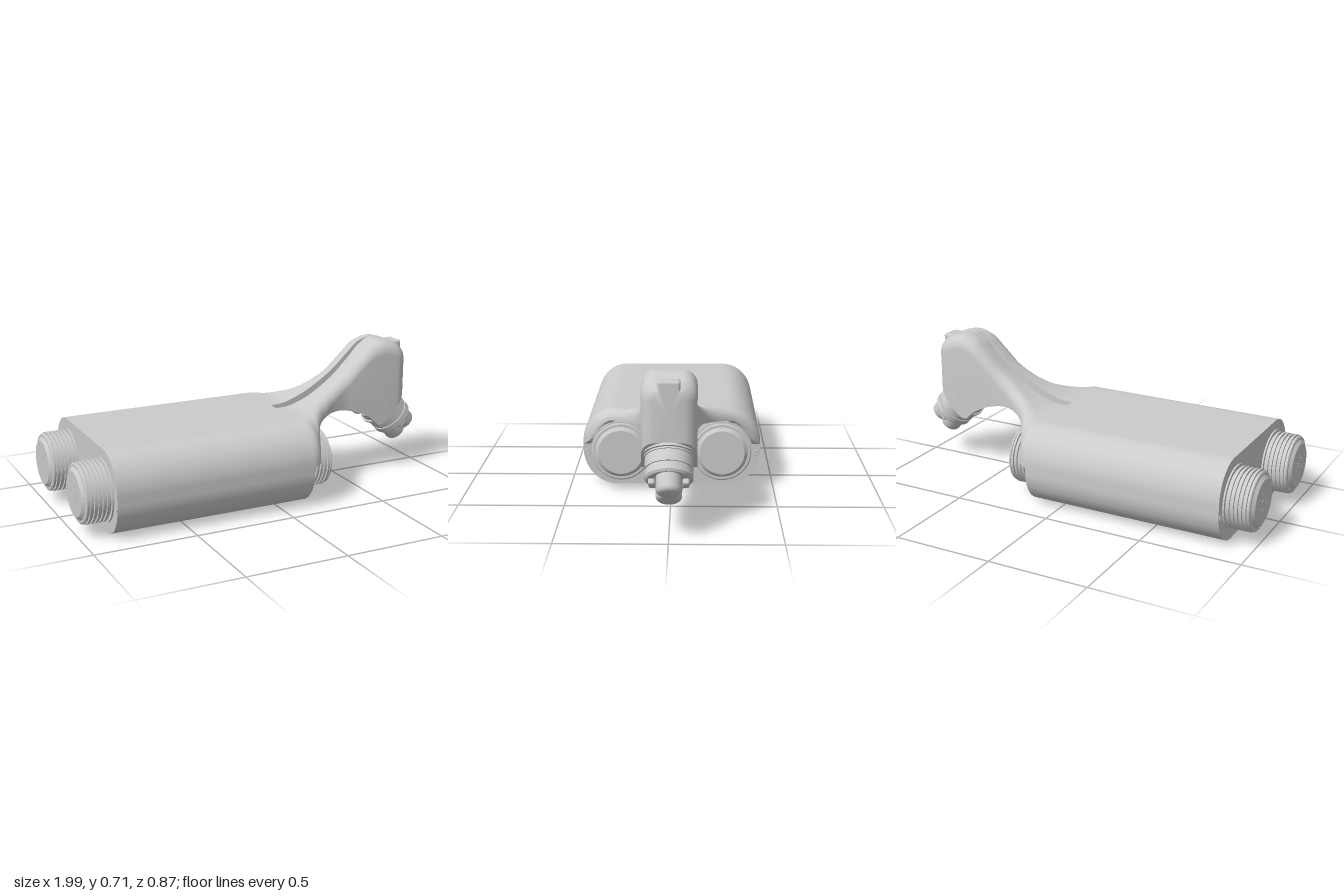
import * as THREE from 'three';
import { toCreasedNormals } from 'three/addons/utils/BufferGeometryUtils.js';
import { RoundedBoxGeometry } from 'three/addons/geometries/RoundedBoxGeometry.js';

const grey = new THREE.MeshStandardMaterial({ color: 0xcccccc });
const greyThin = new THREE.MeshStandardMaterial({ color: 0xcccccc, side: THREE.DoubleSide });

function add(parent, name, geometry, x = 0, y = 0, z = 0, material = grey) {
  const mesh = new THREE.Mesh(geometry, material);
  mesh.name = name;
  mesh.position.set(x, y, z);
  parent.add(mesh);
  return mesh;
}

// Smooth curve through [x, value] keys, without overshoot
function track(keys) {
  const slope = keys.slice(1).map((k, i) => (k[1] - keys[i][1]) / (k[0] - keys[i][0]));
  const tangent = keys.map((_, i) => {
    const a = slope[i - 1] ?? slope[i], b = slope[i] ?? a;
    return a * b > 0 ? (2 * a * b) / (a + b) : 0;
  });
  return (x) => {
    let i = 0;
    while (i < keys.length - 2 && x > keys[i + 1][0]) i++;
    const h = keys[i + 1][0] - keys[i][0];
    const t = THREE.MathUtils.clamp((x - keys[i][0]) / h, 0, 1);
    const s = t * t * (3 - 2 * t);
    return keys[i][1] * (1 - s) + keys[i + 1][1] * s
      + h * t * (1 - t) * ((1 - t) * tangent[i] - t * tangent[i + 1]);
  };
}

// Main housing: a rounded slab extruded along x
function bodyGeometry() {
  const w = 0.437, h = 0.4, rz = 0.165, ry = 0.18, s = new THREE.Shape();
  s.moveTo(-w + rz, 0);
  s.lineTo(w - rz, 0);
  s.absellipse(w - rz, ry, rz, ry, -Math.PI / 2, 0);
  s.absellipse(w - rz, h - ry, rz, ry, 0, Math.PI / 2);
  s.absellipse(-w + rz, h - ry, rz, ry, Math.PI / 2, Math.PI);
  s.absellipse(-w + rz, ry, rz, ry, Math.PI, Math.PI * 1.5);
  const g = new THREE.ExtrudeGeometry(s, { depth: 1.01, bevelEnabled: false, curveSegments: 16 });
  g.rotateY(Math.PI / 2).translate(-0.86, 0, 0);
  return toCreasedNormals(g, 0.6);
}

// Neck: hollow, grooved sections lofted along x
const top = track([[0.145, 0.4], [0.2, 0.402], [0.3, 0.43], [0.4, 0.48], [0.5, 0.545], [0.6, 0.635],
  [0.66, 0.685], [0.735, 0.706], [0.8, 0.692], [0.85, 0.665], [0.876, 0.64]]);
const bottom = track([[0.145, 0.21], [0.18, 0.214], [0.205, 0.245], [0.225, 0.31], [0.25, 0.35], [0.3, 0.36],
  [0.44, 0.375], [0.55, 0.355], [0.65, 0.31], [0.715, 0.26], [0.876, 0.412]]);
const halfWidth = track([[0.145, 0.437], [0.18, 0.43], [0.2, 0.405], [0.22, 0.362], [0.25, 0.3], [0.3, 0.232],
  [0.35, 0.185], [0.42, 0.145], [0.52, 0.125], [0.82, 0.123], [0.85, 0.112], [0.87, 0.088], [0.876, 0.07]]);
const corner = track([[0.145, 0.165], [0.2, 0.16], [0.3, 0.09], [0.45, 0.065], [0.85, 0.065], [0.876, 0.04]]);
const ceiling = track([[0.145, 0.35], [0.3, 0.388], [0.4, 0.425], [0.5, 0.45], [0.6, 0.42], [0.66, 0.3]]);
const groove = track([[0.22, 0.04], [0.6, 0.03], [0.72, 0]]);

function neckSection(x, hole) {
  const yT = top(x), yB = bottom(x), w = halfWidth(x), r = corner(x), g = 0.03;
  const yI = Math.max(yB, ceiling(x)), thick = Math.min(0.03, w * 0.3);
  const arc = (hw, yTop) => {
    const ry = Math.max(0, Math.min(r * 1.09, yTop - yB)), half = [[hw, yB]];
    const rz = Math.min(r, hw - g - 0.005);
    for (let k = 0; k <= 10; k++) {
      const a = (k / 10) * Math.PI / 2;
      half.push([hw - rz + rz * Math.cos(a), yTop - ry + ry * Math.sin(a)]);
    }
    return [...half, [g, yTop]];
  };
  const mirror = (half) => half.map(([z, y]) => [-z, y]).reverse();
  const floor = hole ? yI : Math.max(yT - groove(x), yI);
  const outer = arc(w, yT), inner = arc(w - thick, yI);
  return [...outer, [g, floor], [-g, floor], ...mirror(outer), ...mirror(inner).reverse(), ...inner.reverse()];
}

function neckGeometry() {
  const xs = Array.from({ length: 49 }, (_, i) => 0.145 + i * 0.015);
  xs.push(0.872, 0.876);
  const holeEnd = 5, sections = xs.map((x, i) => neckSection(x, i <= holeEnd));
  const n = sections[0].length, pos = [], idx = [];
  sections.forEach((s, i) => s.forEach(([z, y]) => pos.push(xs[i], y, z)));
  const isGap = (j) => {
    const a = sections[0][j], b = sections[0][(j + 1) % n];
    return Math.abs(a[0]) < 0.031 && Math.abs(b[0]) < 0.031 && a[0] * b[0] < 0;
  };
  for (let i = 0; i < xs.length - 1; i++) {
    for (let j = 0; j < n; j++) {
      // the slot goes right through at the root of the neck
      if (i < holeEnd && isGap(j)) continue;
      const a = i * n + j, b = i * n + (j + 1) % n;
      idx.push(a, a + n, b, b, a + n, b + n);
    }
  }
  // front cap
  const last = (xs.length - 1) * n;
  pos.push(0.876, 0.53, 0);
  for (let j = 0; j < n; j++) idx.push(pos.length / 3 - 1, last + (j + 1) % n, last + j);
  const geo = new THREE.BufferGeometry();
  geo.setAttribute('position', new THREE.Float32BufferAttribute(pos, 3));
  geo.setIndex(idx);
  return toCreasedNormals(geo, 0.6);
}

function lathe(points, segments = 48) {
  const g = new THREE.LatheGeometry(points.map(([r, h]) => new THREE.Vector2(r, h)), segments);
  return toCreasedNormals(g, 0.5);
}

// Finned drum, axis along local y
function makeDrum() {
  const drum = new THREE.Group();
  drum.name = 'finnedDrum';
  const profile = [[0.153, 0], [0.153, 0.008], [0.136, 0.008]];
  for (let k = 0; k < 5; k++) {
    const h = 0.018 + k * 0.02;
    profile.push([0.136, h], [0.147, h], [0.147, h + 0.011], [0.136, h + 0.011]);
  }
  profile.push([0.136, 0.115], [0.142, 0.115], [0.142, 0.122], [0.136, 0.126], [0.124, 0.126], [0.108, 0.14], [0, 0.14]);
  add(drum, 'drumShell', lathe(profile));
  const ring = (count, radius, size, h, name) => {
    for (let k = 0; k < count; k++) {
      const a = (k / count) * Math.PI * 2;
      add(drum, name, new THREE.CylinderGeometry(size, size, 0.004, 12), radius * Math.cos(a), h, radius * Math.sin(a));
    }
  };
  ring(1, 0, 0.016, 0.139, 'hubCap');
  ring(6, 0.043, 0.007, 0.139, 'hubBolt');
  ring(8, 0.132, 0.005, 0.125, 'rimBolt');
  return drum;
}

// Tilted head, local y running out of the neck
function makeHead() {
  const head = new THREE.Group();
  head.name = 'head';
  add(head, 'collar', lathe([[0, -0.04], [0.113, -0.04], [0.113, 0], [0.122, 0], [0.122, 0.012], [0.112, 0.012],
    [0.112, 0.02], [0.107, 0.02], [0.107, 0.075], [0.101, 0.075], [0.101, 0.083], [0.107, 0.083],
    [0.107, 0.115], [0.098, 0.125], [0, 0.125]]));
  const lobe = (name, x, r, end) => {
    const profile = [[r, 0.1]];
    for (let k = 0; k <= 6; k++) {
      const a = (k / 6) * Math.PI / 2;
      profile.push([r - 0.025 + 0.025 * Math.cos(a), end - 0.025 + 0.025 * Math.sin(a)]);
    }
    add(head, name, lathe([...profile, [0, end]], 32), x, 0, 0);
  };
  lobe('upperLobe', -0.037, 0.056, 0.207);
  lobe('lowerLobe', 0.033, 0.058, 0.205);
  for (const s of [-1, 1]) add(head, 'sideLug', new RoundedBoxGeometry(0.05, 0.04, 0.03, 3, 0.01), 0, 0.13, s * 0.075);
  head.position.set(0.79, 0.335, 0);
  head.rotation.z = -2.392;
  return head;
}

export function createModel() {
  const model = new THREE.Group();
  model.name = 'roboticArmBase';
  add(model, 'body', bodyGeometry());
  add(model, 'neck', neckGeometry(), 0, 0, 0, greyThin);
  add(model, 'browBlock', new RoundedBoxGeometry(0.07, 0.07, 0.1, 3, 0.012), 0.841, 0.65, 0);
  model.add(makeHead());

  // Strut inside the hollow neck
  const strut = new THREE.CatmullRomCurve3([[0.14, 0.29], [0.3, 0.365], [0.55, 0.43]].map(([x, y]) => new THREE.Vector3(x, y, 0)));
  add(model, 'innerStrut', new THREE.TubeGeometry(strut, 16, 0.028, 16));

  // Drums and plate bolts on both ends
  for (const [x, dir] of [[0.15, 1], [-0.86, -1]]) {
    for (const s of [-1, 1]) {
      const drum = makeDrum();
      drum.position.set(x, 0.2, s * 0.245);
      drum.rotation.z = -dir * Math.PI / 2;
      model.add(drum);
      for (const [z, y] of [[0.418, 0.16], [0.054, 0.025]]) {
        const washer = add(model, 'plateBoltRing', new THREE.TorusGeometry(0.012, 0.003, 8, 20), x, y, s * z);
        washer.rotation.y = Math.PI / 2;
        const bolt = add(model, 'plateBolt', new THREE.CylinderGeometry(0.006, 0.006, 0.004, 6), x, y, s * z);
        bolt.rotation.z = Math.PI / 2;
      }
    }
  }

  // Small pivots on the sides of the neck
  for (const s of [-1, 1]) {
    const pin = add(model, 'neckPin', new THREE.CylinderGeometry(0.008, 0.008, 0.006, 12), 0.75, 0.375, s * 0.123);
    pin.rotation.x = Math.PI / 2;
  }
  return model;
}
